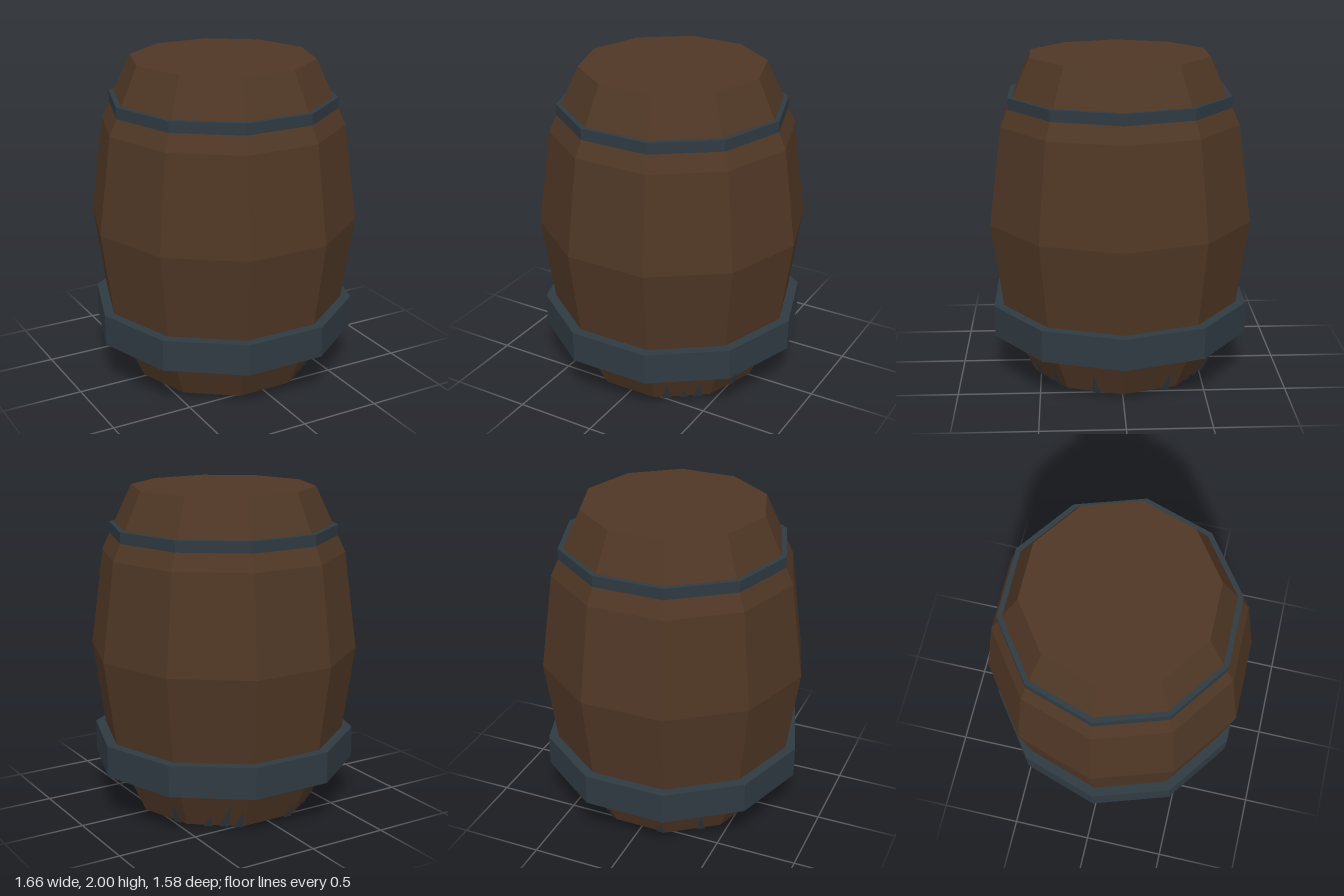
import * as THREE from 'three';

const SIDES = 10;
const BOTTOM = { y: 0.01, r: 0.565 };
const SHOULDER = { y: 0.4, r: 0.747 };

export function createModel() {
  const group = new THREE.Group();
  group.name = 'barrel';

  const wood = new THREE.MeshStandardMaterial({ name: 'dark wood', color: 0x4f3725, flatShading: true });
  const iron = new THREE.MeshStandardMaterial({ name: 'iron', color: 0x2f3a42, flatShading: true });

  const add = (name, geometry, material) => {
    const mesh = new THREE.Mesh(geometry, material);
    mesh.name = name;
    group.add(mesh);
    return mesh;
  };

  // Ten-sided body with closed ends, corners on the x axis
  const profile = [
    [0, BOTTOM.y], [BOTTOM.r, BOTTOM.y], [SHOULDER.r, SHOULDER.y],
    [0.83, 1], [0.75, 1.6], [0.565, 2], [0, 2],
  ].map(([r, y]) => new THREE.Vector2(r, y));
  add('barrelBody', new THREE.LatheGeometry(profile, SIDES, Math.PI / 2), wood);

  // Hoops
  const hoop = (name, radius, y0, y1) => {
    const g = new THREE.CylinderGeometry(radius, radius, y1 - y0, SIDES, 1, false, Math.PI / 2);
    add(name, g, iron).position.y = (y0 + y1) / 2;
  };
  hoop('upperHoop', 0.703, 1.7, 1.77);
  hoop('lowerHoop', 0.82, 0.28, 0.475);

  // Point on the lower wall: angle in degrees from the front towards the model's left
  const wallPoint = (deg, y) => {
    const t = (y - BOTTOM.y) / (SHOULDER.y - BOTTOM.y);
    const off = deg - 36 * Math.round(deg / 36);
    const rad = THREE.MathUtils.degToRad;
    const corner = BOTTOM.r + (SHOULDER.r - BOTTOM.r) * t;
    const r = corner * Math.cos(rad(18)) / Math.cos(rad(off)) + 0.005;
    return new THREE.Vector3(r * Math.sin(rad(deg)), y, r * Math.cos(rad(deg)));
  };

  // Pointed splinters rising from the bottom rim: angle, height, sideways lean of the tip
  const splinters = [
    [26, 0.13, 0], [37, 0.06, 0], [46, 0.14, 0], [73, 0.15, 0], [118, 0.13, 1],
    [139, 0.07, 2], [149, 0.17, 4], [158, 0.12, 2], [194, 0.1, 1], [221, 0.13, -2],
  ];
  for (const [deg, height, lean] of splinters) {
    const g = new THREE.BufferGeometry().setFromPoints([
      wallPoint(deg - 3, 0), wallPoint(deg + 3, 0), wallPoint(deg + lean, height),
    ]);
    g.computeVertexNormals();
    add('splinter', g, iron);
  }

  return group;
}
